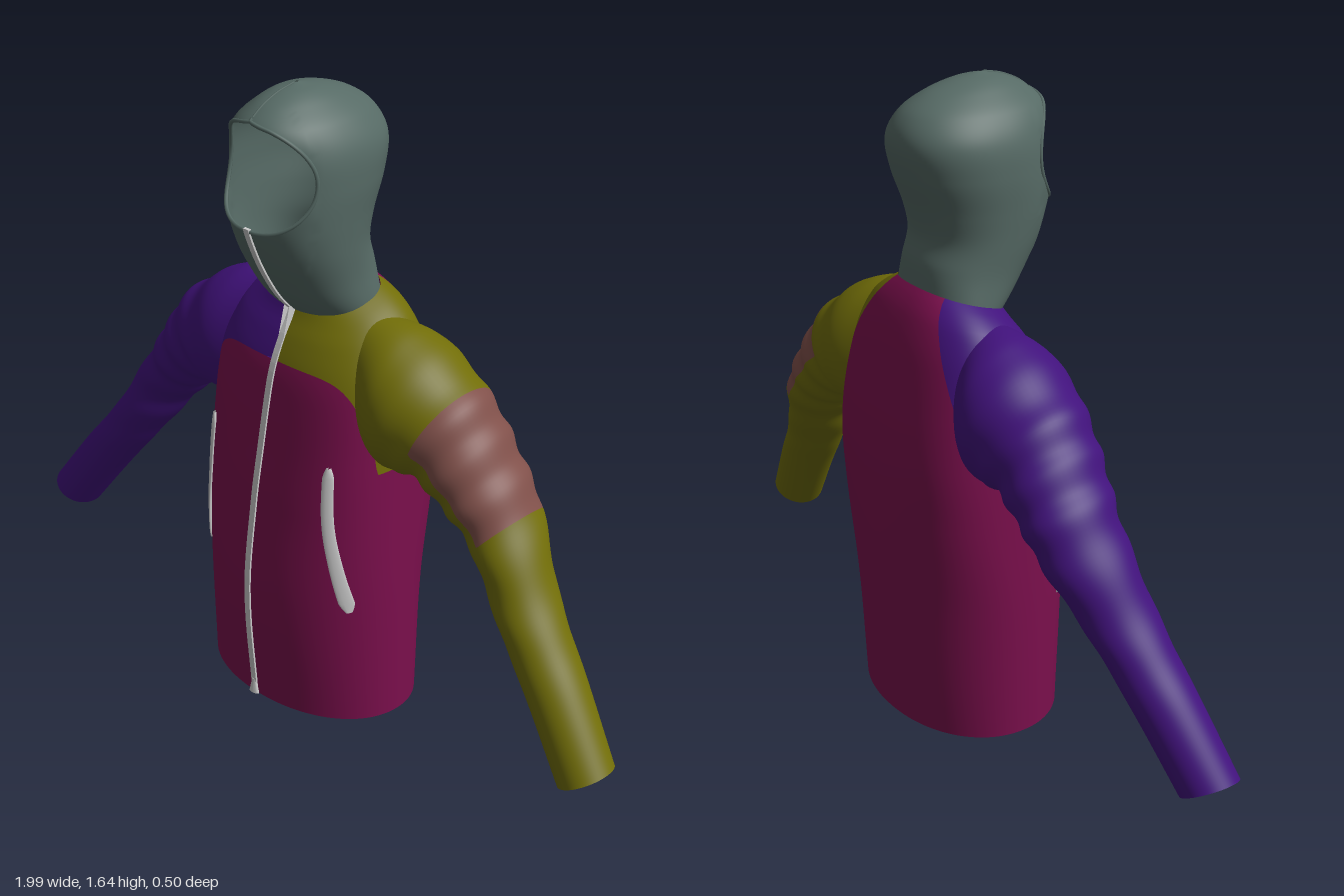
import * as THREE from 'three';

const TAU = Math.PI * 2;
const COLORS = { body: 0x7a0f4c, right: 0x41127c, left: 0x716d08, patch: 0x80504a, hood: 0x566a65, trim: 0xcccccc };
const ramp = (a, b, t) => THREE.MathUtils.smoothstep(t, a, b);

// Smooth interpolation of rows [key, value, value, ...]
function table(rows) {
  const slope = (i, c) => {
    const a = rows[Math.max(i - 1, 0)], b = rows[Math.min(i + 1, rows.length - 1)];
    return (b[c] - a[c]) / (b[0] - a[0]);
  };
  return key => {
    let i = 0;
    while (i < rows.length - 2 && key > rows[i + 1][0]) i++;
    const a = rows[i], b = rows[i + 1], h = b[0] - a[0];
    const t = THREE.MathUtils.clamp((key - a[0]) / h, 0, 1), t2 = t * t, t3 = t2 * t;
    return a.slice(1).map((_, k) => {
      const c = k + 1;
      return a[c] * (2 * t3 - 3 * t2 + 1) + slope(i, c) * h * (t3 - 2 * t2 + t)
        + b[c] * (3 * t2 - 2 * t3) + slope(i + 1, c) * h * (t3 - t2);
    });
  };
}

// Closed-ring loft; point(u, v) with u around and v along
function loft(point, nu, nv) {
  const pos = [], uv = [], index = [];
  for (let j = 0; j <= nv; j++) for (let i = 0; i < nu; i++) {
    pos.push(...point(i / nu, j / nv));
    uv.push(i / nu, j / nv);
  }
  for (let j = 0; j < nv; j++) for (let i = 0; i < nu; i++) {
    const a = j * nu + i, b = j * nu + (i + 1) % nu;
    index.push(a, b, b + nu, a, b + nu, a + nu);
  }
  const g = new THREE.BufferGeometry();
  g.setAttribute('position', new THREE.Float32BufferAttribute(pos, 3));
  g.setAttribute('uv', new THREE.Float32BufferAttribute(uv, 2));
  g.setIndex(index);
  g.computeVertexNormals();
  return g;
}

// Keep the part of a surface where field(x, y, z, u, v) is positive
function cut(g, field) {
  const { position: p, normal: n, uv } = g.attributes, verts = [], pos = [], nor = [];
  for (let i = 0; i < p.count; i++) {
    const q = [p.getX(i), p.getY(i), p.getZ(i)];
    verts.push([...q, n.getX(i), n.getY(i), n.getZ(i), field(...q, uv.getX(i), uv.getY(i))]);
  }
  const ix = g.index.array;
  for (let t = 0; t < ix.length; t += 3) {
    const poly = [];
    for (let k = 0; k < 3; k++) {
      const a = verts[ix[t + k]], b = verts[ix[t + (k + 1) % 3]];
      if (a[6] >= 0) poly.push(a);
      if ((a[6] >= 0) !== (b[6] >= 0)) {
        const s = a[6] / (a[6] - b[6]);
        poly.push(a.map((c, m) => c + (b[m] - c) * s));
      }
    }
    for (let k = 1; k + 1 < poly.length; k++) for (const w of [poly[0], poly[k], poly[k + 1]]) {
      pos.push(w[0], w[1], w[2]);
      nor.push(w[3], w[4], w[5]);
    }
  }
  const out = new THREE.BufferGeometry();
  out.setAttribute('position', new THREE.Float32BufferAttribute(pos, 3));
  out.setAttribute('normal', new THREE.Float32BufferAttribute(nor, 3));
  return out;
}

// Rows: height, half width, front z, back z, squareness
const torsoRow = table([
  [0, .298, .23, -.2, 2.1], [.35, .292, .25, -.23, 2.1], [.6, .283, .222, -.243, 2.6],
  [.75, .278, .195, -.24, 3], [.88, .275, .17, -.22, 3], [.98, .265, .147, -.192, 2.7],
  [1.05, .235, .12, -.16, 2.4], [1.09, .19, .095, -.135, 2.2], [1.11, .155, .085, -.12, 2.2]]);
const hoodRow = table([
  [1.1, .155, .085, -.12, 2.2], [1.18, .15, .15, -.115, 2.2], [1.26, .155, .205, -.1, 2.2],
  [1.33, .16, .232, -.115, 2.2], [1.42, .165, .235, -.15, 2.2], [1.5, .158, .232, -.165, 2.2],
  [1.56, .128, .228, -.138, 2.1], [1.6, .085, .185, -.08, 2], [1.625, .045, .13, -.005, 2],
  [1.637, .003, .075, .065, 2]]);
// Rows: step, top x, top y, bottom x, bottom y, centre z, half depth
const sleeveRow = table([
  [0, .15, 1.09, .2, .74, -.02, .1], [1, .3, 1.065, .28, .715, -.03, .16],
  [2, .465, .96, .36, .72, -.035, .137], [3, .55, .85, .45, .67, -.04, .125],
  [4, .636, .73, .53, .6, -.04, .11], [5, .76, .53, .64, .46, 0, .088],
  [6, .88, .38, .76, .31, .03, .079], [7, .995, .225, .877, .155, .06, .073]]);

function ring(row, u) {
  const [w, zf, zb, n] = row, a = u * TAU;
  const pw = c => Math.sign(c) * Math.abs(c) ** (2 / n);
  return [w * pw(Math.sin(a)), (zf + zb) / 2 + (zf - zb) / 2 * pw(Math.cos(a))];
}
function torsoPoint(u, v) {
  const y = 1.11 * v, [x, z] = ring(torsoRow(y), u), low = 1 - ramp(0, .3, y);
  return [x, y + low * (.01 + .05 * z) - .3 * z * ramp(.88, 1.11, y), z];
}
function hoodPoint(u, v) {
  const y = 1.1 + .537 * Math.sin(v * Math.PI / 2), [x, z] = ring(hoodRow(y), u);
  const fold = 1 + .015 * Math.sin(y * 45 + 3 * Math.cos(u * TAU)) * ramp(.15, 0, z);
  return [x * fold, y - .3 * z * (1 - ramp(1.1, 1.3, y)), z];
}
const sleevePoint = side => (u, v) => {
  const s = v * 7, a = u * TAU, [tx, ty, bx, by, zc, hz] = sleeveRow(s);
  const crease = .035 * Math.sin(s * 8 + 2.5 * Math.cos(a) + Math.sin(a)) * ramp(.8, 2, s) * (1 - ramp(4, 6, s));
  const c = -Math.cos(a) * (1 + crease) / 2;
  return [side * ((tx + bx) / 2 + (tx - bx) * c), (ty + by) / 2 + (ty - by) * c,
    zc - side * hz * Math.sin(a) * (1 + crease)];
};

// Front yoke and back raglan seams
function yoke(x, y, z) {
  const ax = Math.abs(x);
  if (z > 0) return y - .72 - .24 * Math.sqrt(Math.max(0, 1 - (ax / .27) ** 6));
  return Math.min(y - .72, ax - .28 + .17 * (Math.max(0, y - .72) / .41) ** 1.7);
}
const faceEdge = y => .145 + 4.8 * (y - 1.45) ** 2;

export function createModel() {
  const jacket = new THREE.Group();
  jacket.name = 'jacket';
  const materials = {};
  for (const k in COLORS) materials[k] = new THREE.MeshStandardMaterial({ color: COLORS[k], side: THREE.DoubleSide });
  const add = (name, geometry, color) => {
    const mesh = new THREE.Mesh(geometry, materials[color]);
    mesh.name = name;
    jacket.add(mesh);
  };

  // Torso panels
  const torso = loft(torsoPoint, 120, 90);
  add('torso', cut(torso, (x, y, z) => -yoke(x, y, z)), 'body');
  add('leftYoke', cut(torso, (x, y, z) => Math.min(yoke(x, y, z), x)), 'left');
  add('rightYoke', cut(torso, (x, y, z) => Math.min(yoke(x, y, z), -x)), 'right');

  // Sleeves, with an upper arm patch on the left
  add('rightSleeve', loft(sleevePoint(-1), 56, 110), 'right');
  const leftSleeve = loft(sleevePoint(1), 56, 110);
  const patch = (x, y, z, u, v) => Math.min(v * 7 - 1.9, 4.05 - v * 7, .05 - Math.cos(u * TAU));
  add('leftSleeve', cut(leftSleeve, (...p) => -patch(...p)), 'left');
  add('armPatch', cut(leftSleeve, patch), 'patch');

  // Hood with a face opening and a rolled hem
  add('hood', cut(loft(hoodPoint, 96, 80), (x, y, z) => faceEdge(y) - z), 'hood');
  const hem = [];
  for (let i = 0; i < 48; i++) {
    const t = i / 48 * TAU, y = 1.45 + .132 * Math.cos(t), [w, zf, zb, n] = hoodRow(y);
    const z = Math.min(faceEdge(y), zf), q = Math.max(0, (2 * z - zf - zb) / (zf - zb));
    hem.push(new THREE.Vector3(Math.sign(Math.sin(t)) * w * Math.max(0, 1 - q ** n) ** (1 / n), y, z));
  }
  add('hoodHem', new THREE.TubeGeometry(new THREE.CatmullRomCurve3(hem, true), 120, .005, 6, true), 'hood');
  const seam = [];
  for (let i = 0; i <= 10; i++) {
    const y = 1.585 + .051 * Math.sin(i / 10 * Math.PI / 2);
    seam.push(new THREE.Vector3(0, y, hoodRow(y)[1]));
  }
  add('crownSeam', new THREE.TubeGeometry(new THREE.CatmullRomCurve3(seam), 24, .003, 6), 'hood');

  // Front zip following the centre line
  const line = [];
  for (let i = 0; i <= 40; i++) line.push(torsoPoint(0, i / 40));
  for (let i = 1; i <= 40; i++) {
    const p = hoodPoint(0, i / 80);
    if (p[1] < 1.325) line.push(p);
  }
  const outline = [...line.map(p => new THREE.Vector2(-p[2] - .005, p[1])),
    ...line.reverse().map(p => new THREE.Vector2(-p[2] + .004, p[1]))];
  const zip = new THREE.ExtrudeGeometry(new THREE.Shape(outline), { depth: .018, bevelEnabled: false });
  add('frontZip', zip.translate(0, 0, -.009).rotateY(Math.PI / 2), 'trim');
  const pull = new THREE.CylinderGeometry(.007, .017, .04, 8).scale(1, 1, .5);
  add('zipPull', pull.translate(0, .045, .236), 'trim');

  // Curved pocket zips lying on the front
  const pocketX = table([[.35, .25], [.48, .226], [.6, .207], [.75, .199]]);
  for (const side of [-1, 1]) {
    const strip = loft((u, v) => {
      const y = .35 + .4 * v, a = u * TAU, taper = Math.min(1, .35 + 12 * v * (1 - v));
      const x = pocketX(y)[0] + side * Math.sin(a) * .013 * taper, [w, zf, zb, n] = torsoRow(y);
      const z = (zf + zb) / 2 + (zf - zb) / 2 * (1 - (x / w) ** n) ** (1 / n);
      return [side * (x + .003), y, z + .003 + .006 * Math.cos(a)];
    }, 12, 30);
    add(side > 0 ? 'leftPocketZip' : 'rightPocketZip', strip, 'trim');
  }
  return jacket;
}
